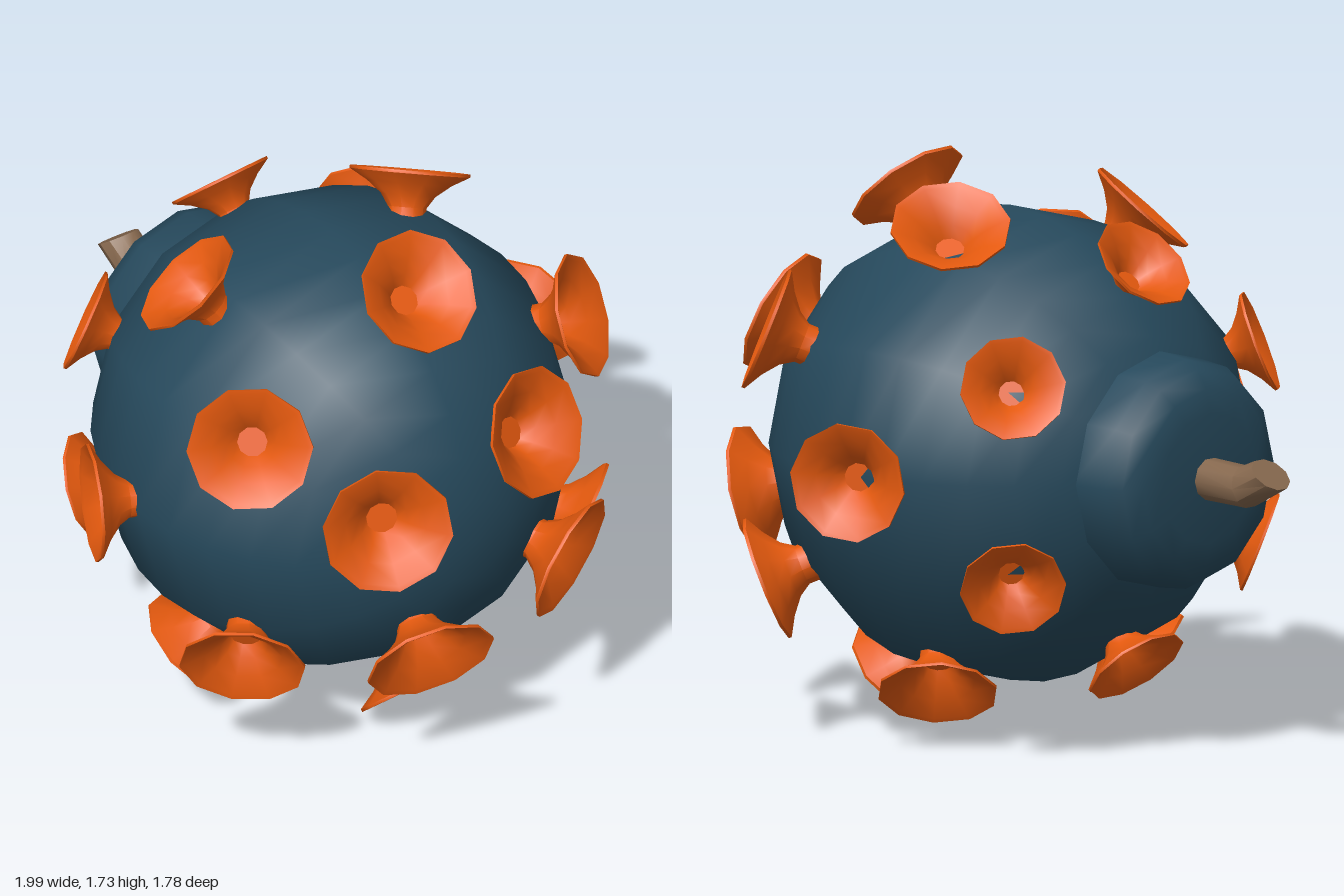
import * as THREE from 'three';
import { toCreasedNormals } from 'three/addons/utils/BufferGeometryUtils.js';

const CENTRE = new THREE.Vector3(0.14, 0.885, -0.01);

const lathe = (pts, sides) =>
  new THREE.LatheGeometry(pts.map(([r, y]) => new THREE.Vector2(r, y)), sides);

export function createModel() {
  const group = new THREE.Group();
  const blue = new THREE.MeshStandardMaterial({ name: 'darkBlue', color: 0x26495c });
  const orange = new THREE.MeshStandardMaterial({ name: 'orange', color: 0xe4590e });
  const brown = new THREE.MeshStandardMaterial({ name: 'brown', color: 0x86684e });

  const add = (name, geometry, material) => {
    const mesh = new THREE.Mesh(geometry, material);
    mesh.name = name;
    group.add(mesh);
    return mesh;
  };

  // Round body, poles along x
  const ball = new THREE.SphereGeometry(0.725, 12, 16);
  ball.rotateZ(-Math.PI / 2);
  add('body', ball, blue).position.copy(CENTRE);

  // Rounded neck on the right side
  const neck = lathe([
    [0, -0.695], [0.2, -0.695], [0.27, -0.68], [0.325, -0.645],
    [0.35, -0.595], [0.362, -0.47], [0.362, -0.4],
  ], 12);
  neck.rotateZ(-Math.PI / 2);
  add('neck', toCreasedNormals(neck, 0.7), blue).position.set(0, CENTRE.y, CENTRE.z);

  // Bent fuse: each cylinder ring moves to a centre with its own tilt
  const rings = [
    { c: [-0.65, 0.885], up: [0, 1] },
    { c: [-0.85, 0.88], up: [0.25, 0.97] },
    { c: [-0.95, 0.93], up: [0.78, 0.62] },
  ];
  const fuse = new THREE.CylinderGeometry(0.065, 0.065, 1, 10, 2);
  const p = fuse.attributes.position;
  for (let i = 0; i < p.count; i++) {
    const { c, up } = rings[Math.round((p.getY(i) + 0.5) * 2)];
    const u = p.getX(i);
    p.setXYZ(i, c[0] + u * up[0], c[1] + u * up[1], p.getZ(i) + CENTRE.z);
  }
  add('fuse', toCreasedNormals(fuse, 0.65), brown);

  // Trumpet-shaped suction cup with rim radius 1, opening along +y at y = 0
  const cup = toCreasedNormals(lathe([
    [0.32, -0.9], [0.32, -0.62], [0.45, -0.42], [0.7, -0.22], [1, -0.05],
    [1, 0], [0.92, -0.03], [0.62, -0.2], [0.38, -0.4], [0.24, -0.57], [0, -0.57],
  ], 10), 0.7);

  // Rings of cups around x: rim centre, rim radius, tilt [along x, outward], angles from y to z
  const cupRings = [
    { name: 'neckCup', x: -0.39, r: 0.615, size: 0.16, tilt: [-0.69, 0.72], angles: [3, 60, 120, 180, 240, 300] },
    { name: 'middleCup', x: 0.03, r: 0.815, size: 0.182, tilt: [-0.42, 0.9], angles: [34.5, 90, 148, 211.5, 270, 333] },
    { name: 'shoulderCup', x: 0.55, r: 0.738, size: 0.191, tilt: [0.69, 0.72], angles: [-2, 55, 121, 182, 238.5, 301] },
    { name: 'endCup', x: 0.89, r: 0.395, size: 0.2, tilt: [0.87, 0.49], angles: [59, 153, 240, 327] },
  ];
  const up = new THREE.Vector3(0, 1, 0);
  for (const { name, x, r, size, tilt, angles } of cupRings) {
    angles.forEach((deg, i) => {
      const a = THREE.MathUtils.degToRad(deg);
      const y = Math.cos(a), z = Math.sin(a);
      const mesh = add(name + (i + 1), cup, orange);
      mesh.position.set(x, CENTRE.y + r * y, CENTRE.z + r * z);
      const axis = new THREE.Vector3(tilt[0], tilt[1] * y, tilt[1] * z).normalize();
      mesh.quaternion.setFromUnitVectors(up, axis);
      mesh.scale.setScalar(size);
    });
  }
  return group;
}
